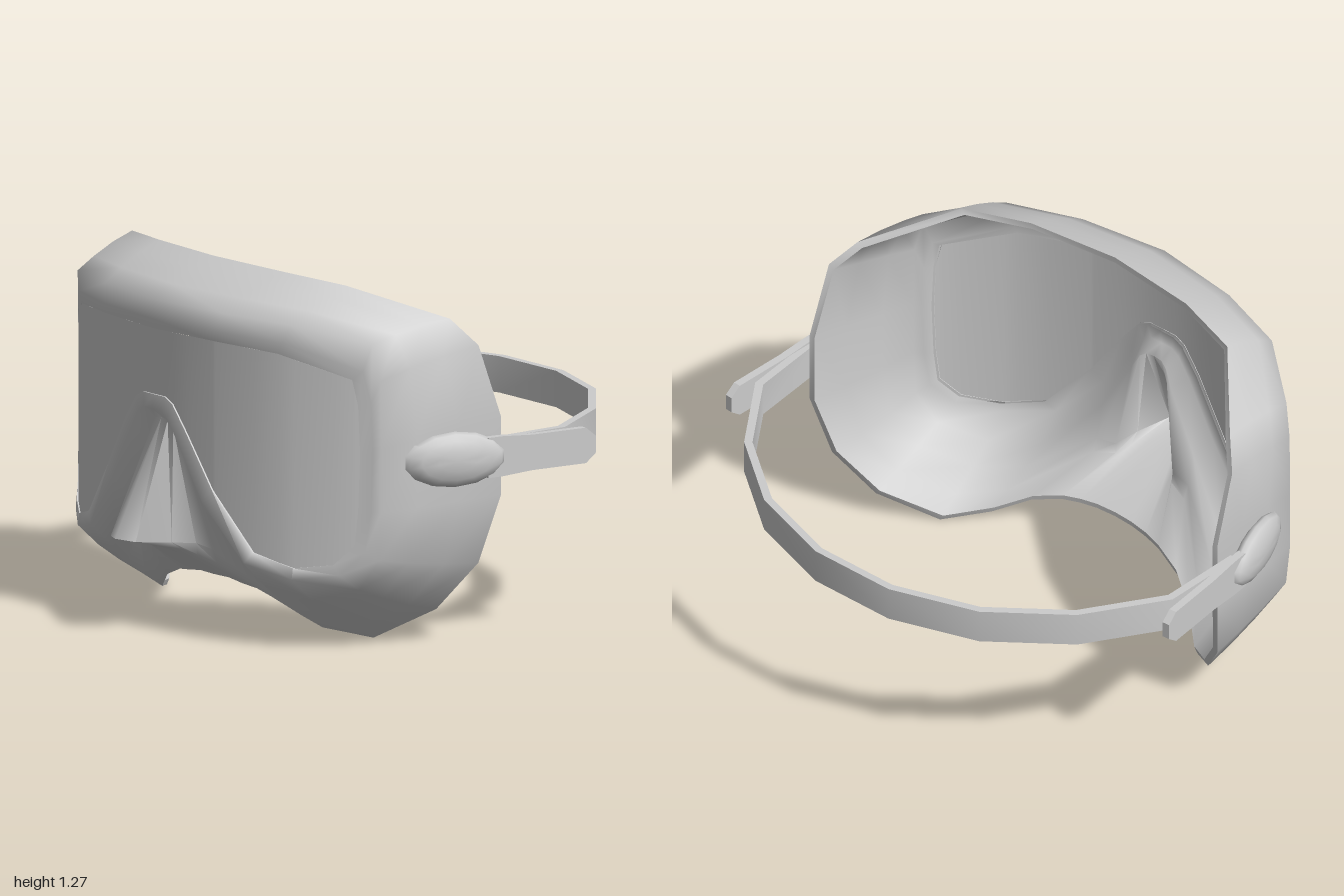
import * as THREE from 'three';
import { toCreasedNormals } from 'three/addons/utils/BufferGeometryUtils.js';

const material = new THREE.MeshStandardMaterial({ color: 0xcccccc, side: THREE.DoubleSide });
const lensZ = (x) => 0.734 - 0.3 * x * x - 0.25 * x ** 4;

function makeMesh(name, geometry, crease = 1.0) {
  const mesh = new THREE.Mesh(toCreasedNormals(geometry, crease), material);
  mesh.name = name;
  return mesh;
}

// Skin a list of equally long point loops; each loop may close on itself.
// The diagonals of the second half mirror those of the first.
function loft(loops, closed = true) {
  const n = loops[0].length;
  const index = [];
  for (let r = 0; r < loops.length - 1; r++) {
    for (let i = 0; i < (closed ? n : n - 1); i++) {
      const a = r * n + i, b = r * n + ((i + 1) % n);
      if (i < n / 2) index.push(a, b, a + n, b, b + n, a + n);
      else index.push(a, b, b + n, a, b + n, a + n);
    }
  }
  const geometry = new THREE.BufferGeometry();
  geometry.setAttribute('position', new THREE.Float32BufferAttribute(loops.flat(2), 3));
  geometry.setIndex(index);
  geometry.computeVertexNormals();
  return geometry;
}

// Half loops run from top centre, down the left side, to the bridge of the nose
const lensEdge = [[0, 1.05], [0.3, 1.05], [0.55, 1.035], [0.77, 0.96], [0.785, 0.87], [0.79, 0.7],
  [0.785, 0.5], [0.775, 0.38], [0.72, 0.31], [0.6, 0.29], [0.46, 0.33], [0.29, 0.53],
  [0.17, 0.71], [0.1, 0.8], [0.06, 0.82], [0, 0.82]];
const crest = [[0, 1.085], [0.31, 1.085], [0.57, 1.075], [0.8, 0.99], [0.82, 0.88], [0.825, 0.7],
  [0.82, 0.5], [0.805, 0.36], [0.74, 0.275], [0.6, 0.25], [0.43, 0.29], [0.25, 0.485],
  [0.13, 0.68], [0.08, 0.75], [0.047, 0.77], [0, 0.77]];
const shoulder = [[0, 1.152, 0.735], [0.33, 1.15, 0.69], [0.6, 1.14, 0.6], [0.82, 1.085, 0.42],
  [0.847, 0.96, 0.405], [0.85, 0.72, 0.405], [0.85, 0.5, 0.405], [0.835, 0.33, 0.4],
  [0.76, 0.22, 0.43], [0.6, 0.17, 0.51], [0.42, 0.2, 0.58], [0.21, 0.43, 0.665],
  [0.09, 0.65, 0.685], [0.06, 0.71, 0.695], [0.035, 0.73, 0.7], [0, 0.735, 0.7]];
const rearRim = [[0, 1.272, 0.475], [0.35, 1.267, 0.44], [0.6, 1.25, 0.365], [0.84, 1.14, 0.1],
  [0.91, 1.05, 0.03], [0.92, 0.79, -0.06], [0.92, 0.52, -0.06], [0.87, 0.28, 0],
  [0.75, 0.11, 0.09], [0.58, 0, 0.23], [0.45, 0.03, 0.35], [0.33, 0.1, 0.42],
  [0.22, 0.14, 0.45], [0.15, 0.15, 0.465], [0.08, 0.16, 0.47], [0, 0.16, 0.475]];
// Nose pocket: its lower front edge and the underside behind it
const noseFront = [[0.21, 0.3, 0.64], [0.13, 0.31, 0.65], [0.11, 0.32, 0.74], [0.07, 0.33, 0.865], [0, 0.335, 0.9]];
const noseUnder = [[0.21, 0.25, 0.62], [0.13, 0.27, 0.645], [0.1, 0.29, 0.69], [0.06, 0.3, 0.73], [0, 0.305, 0.75]];

const onLens = (pts, dz) => pts.map(([x, y]) => [x, y, lensZ(x) + dz]);
const mirrorLoop = (half) => [...half, ...half.slice(1, -1).reverse().map(([x, y, z]) => [-x, y, z])];

// Skirt loop part way from the shoulder to the rear rim, ending in the nose
function skirtLoop(t, nose) {
  const side = shoulder.slice(0, 11).map((p, i) => {
    const [x, y, z] = p.map((v, k) => v + (rearRim[i][k] - v) * t);
    return [x, 0.65 + (y - 0.65) * (1 + 0.08 * t * (1 - t)), z];
  });
  return [...side, ...nose];
}

// Outer wall from the window to the rear rim, and a thin lining inside it
function makeSkirt() {
  const group = new THREE.Group();
  group.name = 'skirt';
  const wall = [onLens(crest, 0.006), shoulder, skirtLoop(0.3, noseFront), skirtLoop(0.65, noseUnder)];
  const inset = (dz) => (loop) => loop.map(([x, y, z]) => [x * 0.977, 0.65 + (y - 0.65) * 0.965, z - dz]);
  const lip = inset(0)(rearRim);
  const outer = [onLens(lensEdge, -0.008), onLens(lensEdge, 0), ...wall, rearRim, lip];
  const lining = [onLens(lensEdge, -0.02), ...wall.map(inset(0.022)), lip];
  group.add(makeMesh('outerWall', loft(outer.map(mirrorLoop)), 1.3));
  group.add(makeMesh('lining', loft(lining.map(mirrorLoop)), 1.3));
  return group;
}

// Curved window, built from upright strips between its upper and lower edges
function makeLens() {
  const upper = lensEdge.slice(0, 6), lower = lensEdge.slice(5).reverse();
  const edgeY = (edge, x) => {
    const i = Math.max(1, edge.findIndex((p) => p[0] >= x));
    const [a, b] = [edge[i - 1], edge[i]];
    return a[1] + ((b[1] - a[1]) * (x - a[0])) / (b[0] - a[0]);
  };
  const half = [...new Set([...upper, ...lower].map((p) => p[0]))].sort((a, b) => a - b);
  const xs = [...half.slice(1).reverse().map((x) => -x), ...half];
  const strips = xs.map((x) => [upper, lower].map((e) => [x, edgeY(e, Math.abs(x)), lensZ(x) - 0.006]));
  return makeMesh('lens', loft(strips, false));
}

// Head strap: a flat band following a faceted arc
function makeStrap() {
  const half = [[0.958, 0], [0.942, -0.32], [0.752, -0.6], [0.485, -0.805], [0.165, -0.91]];
  const path = [...half, ...half.slice().reverse().map(([x, z]) => [-x, z])];
  const rings = path.map(([x, z]) => {
    const ix = x * 0.97, iz = z * 0.97;
    return [[x, 0.6, z], [x, 0.727, z], [ix, 0.727, iz], [ix, 0.6, iz]];
  });
  return makeMesh('strap', loft(rings), 0.8);
}

// Domed oval button and loose strap end on one side
function makeBuckle(side) {
  const group = new THREE.Group();
  group.name = side > 0 ? 'leftBuckle' : 'rightBuckle';

  const oval = new THREE.SphereGeometry(1, 14, 8);
  oval.rotateZ(-Math.PI / 2).scale(0.042, 0.097, 0.186);
  const button = makeMesh('button', oval, 1.2);
  button.position.set(0.922, 0.667, 0.143);
  button.rotation.y = -0.28;
  group.add(button);

  const outline = new THREE.Shape([[-0.03, -0.07], [0.03, -0.07], [0.15, -0.062], [0.37, -0.062], [0.41, -0.03],
    [0.41, 0.03], [0.37, 0.062], [0.15, 0.062], [0.03, 0.07], [-0.03, 0.07]].map((p) => new THREE.Vector2(...p)));
  const slab = new THREE.ExtrudeGeometry(outline, { depth: 0.028, bevelEnabled: false });
  slab.rotateY(Math.PI / 2);
  const tail = makeMesh('strapEnd', slab, 0.6);
  tail.position.set(0.942, 0.665, 0);
  tail.rotation.y = -0.075;
  group.add(tail);

  group.scale.x = side;
  return group;
}

export function createModel() {
  const model = new THREE.Group();
  model.name = 'divingMask';
  model.add(makeSkirt(), makeLens(), makeStrap(), makeBuckle(1), makeBuckle(-1));
  return model;
}
